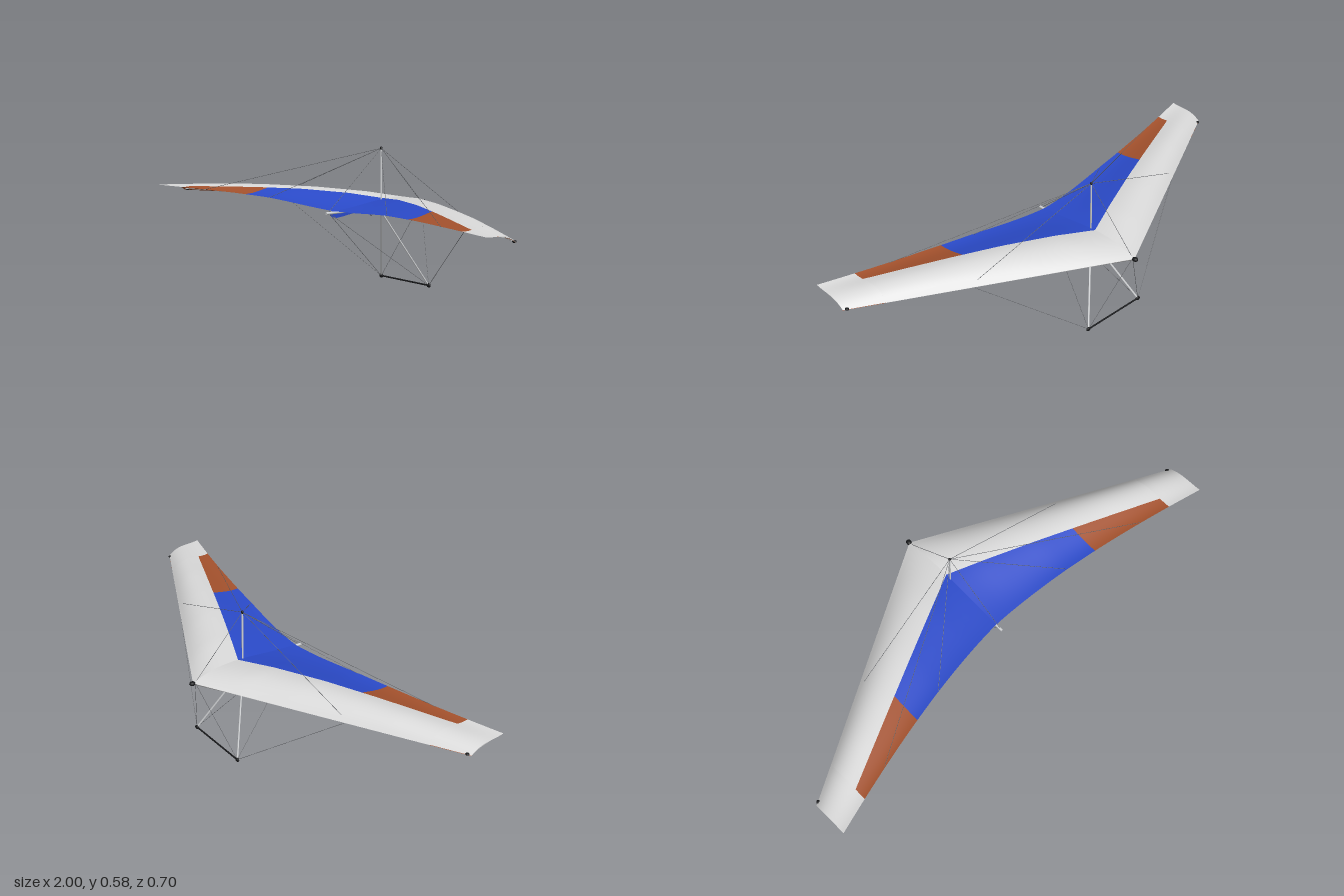
import * as THREE from 'three';

const mat = (name, color, side = THREE.FrontSide) => {
  const m = new THREE.MeshStandardMaterial({ color, side });
  m.name = name;
  return m;
};

export function createModel() {
  const glider = new THREE.Group();
  glider.name = 'hangGlider';
  const white = mat('sail white', 0xdadada, THREE.DoubleSide);
  const blue = mat('sail blue', 0x2b4bcb, THREE.DoubleSide);
  const rust = mat('sail rust', 0xa5522d, THREE.DoubleSide);
  const alloy = mat('tube alloy', 0xd0d2d4);
  const black = mat('fitting black', 0x18191b);
  const steel = mat('wire steel', 0x66686c);

  // Linear interpolation through [x, value] pairs
  const table = (pts) => (x) => {
    let i = 1;
    while (i < pts.length - 1 && x > pts[i][0]) i++;
    const [a, b] = [pts[i - 1], pts[i]];
    return a[1] + ((b[1] - a[1]) * (x - a[0])) / (b[0] - a[0]);
  };

  // Wing planform and section rules, x measured outward from the keel
  const leadZ = (x) => -0.335 + 0.53 * x;
  const trailZ = (x) => 0.165 + 0.185 * Math.pow(x, 1.5);
  const leadY = (x) => 0.334 + 0.004 * x;
  const trailY = table([[0, 0.339], [0.08, 0.342], [0.16, 0.347], [0.25, 0.354], [0.36, 0.362], [0.55, 0.367], [1, 0.372]]);
  const camber = table([[0, 0.031], [0.15, 0.044], [0.35, 0.046], [0.55, 0.042], [0.7, 0.037], [0.86, 0.026], [1, 0.014]]);
  const belly = table([[0, 0.044], [0.12, 0.031], [0.3, 0.011], [0.5, 0.004], [0.86, 0.001], [1, -0.007]]);
  const zAt = (x, u) => leadZ(x) + (trailZ(x) - leadZ(x)) * u;
  const uAt = (x, z) => (z - leadZ(x)) / (trailZ(x) - leadZ(x));
  const upperY = (x, u) => leadY(x) + (trailY(x) - leadY(x)) * u + camber(x) * 6.75 * u * (1 - u) ** 2;
  const upper = (x, u) => [x, upperY(x, u), zAt(x, u)];
  const seam = 0.58; // where the lower skin meets the upper sail
  const lower = (x, t) => {
    const y = leadY(x) + (upperY(x, seam) - leadY(x)) * t - belly(x) * Math.sin(Math.PI * t ** 0.75);
    return [x, y - 0.0015, zAt(x, seam * t)];
  };

  // Sail panel between two spanwise stations and two chordwise limits, on both sides
  function panel(name, material, surface, x0, x1, c0, c1, down = false) {
    const nx = Math.max(4, Math.ceil((x1 - x0) * 32)), nc = 14;
    for (const side of [1, -1]) {
      const pos = [], idx = [];
      for (let i = 0; i <= nx; i++) {
        const x = x0 + ((x1 - x0) * i) / nx;
        for (let j = 0; j <= nc; j++) {
          const [px, py, pz] = surface(x, c0(x) + ((c1(x) - c0(x)) * j) / nc);
          pos.push(px * side, py, pz);
          if (i < nx && j < nc) {
            const a = i * (nc + 1) + j, b = a + nc + 1;
            if ((side > 0) !== down) idx.push(a, a + 1, b, b, a + 1, b + 1);
            else idx.push(a, b, a + 1, b, b + 1, a + 1);
          }
        }
      }
      const g = new THREE.BufferGeometry();
      g.setAttribute('position', new THREE.Float32BufferAttribute(pos, 3));
      g.setIndex(idx);
      g.computeVertexNormals();
      const m = new THREE.Mesh(g, material);
      m.name = name + (side > 0 ? 'Left' : 'Right');
      glider.add(m);
    }
  }

  // Flat panel standing in the fore-and-aft plane, from [z, y] outline points
  function uprightPanel(name, material, outline, x) {
    const shape = new THREE.Shape(outline.map(([z, y]) => new THREE.Vector2(-z, y)));
    const m = new THREE.Mesh(new THREE.ShapeGeometry(shape), material);
    m.rotation.y = Math.PI / 2;
    m.position.x = x;
    m.name = name;
    glider.add(m);
  }

  // Upper sail: white leading band and tips, coloured rear panels
  const zero = () => 0, one = () => 1;
  const band = (x) => uAt(x, -0.12 + 0.445 * x);
  panel('leadingBand', white, upper, 0, 0.855, zero, band);
  panel('innerPanel', blue, upper, 0, 0.5, band, one);
  panel('outerPanel', rust, upper, 0.5, 0.855, band, one);
  panel('tipPanel', white, upper, 0.855, 1, zero, one);

  // Lower skin from the leading edge to the seam
  const split = (x) => uAt(x, -0.185 + 0.4 * x) / seam;
  panel('lowerSkinFront', white, lower, 0, 0.5, zero, split, true);
  panel('lowerSkinRear', blue, lower, 0, 0.5, split, one, true);
  panel('lowerSkinOuter', white, lower, 0.5, 0.86, zero, one, true);
  panel('lowerSkinTip', rust, lower, 0.86, 1, zero, one, true);

  // White ribs closing the wing tips
  const tipOutline = [];
  for (let i = 0; i <= 8; i++) tipOutline.push([zAt(1, (seam * i) / 8), upperY(1, (seam * i) / 8)]);
  for (let i = 8; i >= 0; i--) {
    const [, y, z] = lower(1, i / 8);
    tipOutline.push([z, y]);
  }
  for (const s of [1, -1]) uprightPanel('tipRib', white, tipOutline, s);

  // Keel pocket hanging under the rear of the keel
  uprightPanel('keelPocket', blue, [
    [0, 0.34], [0.165, 0.339], [0.178, 0.326], [0.165, 0.314], [0.14, 0.309], [0.11, 0.312], [0.06, 0.319], [0, 0.326],
  ], 0);

  // Straight tube or wire between two points; slim narrows it across x
  function rod(name, material, a, b, r, sides = 12, slim = 1) {
    const A = new THREE.Vector3(...a), B = new THREE.Vector3(...b);
    const m = new THREE.Mesh(new THREE.CylinderGeometry(r, r, A.distanceTo(B), sides), material);
    m.position.copy(A).add(B).multiplyScalar(0.5);
    m.quaternion.setFromUnitVectors(new THREE.Vector3(0, 1, 0), B.sub(A).normalize());
    m.scale.x = slim;
    m.name = name;
    glider.add(m);
  }
  function knob(name, material, p, sx, sy, sz) {
    const m = new THREE.Mesh(new THREE.SphereGeometry(1, 16, 12), material);
    m.scale.set(sx, sy, sz);
    m.position.set(...p);
    m.name = name;
    glider.add(m);
  }

  // Frame
  const top = [0, 0.573, -0.097], nose = [0, 0.333, -0.325], tail = [0, 0.334, 0.185];
  const baseY = 0.009, wire = 0.0009;
  rod('keel', alloy, [0, 0.331, -0.335], [0, 0.331, 0.196], 0.0055);
  rod('kingpost', alloy, [0, 0.331, -0.097], top, 0.004, 12, 0.6);
  knob('kingpostCap', black, top, 0.0055, 0.007, 0.0055);
  knob('noseCap', black, [0, 0.333, -0.338], 0.011, 0.009, 0.013);
  knob('apexBracket', black, [0, 0.313, -0.097], 0.008, 0.006, 0.005);
  rod('apexBolt', black, [0, 0.331, -0.097], [0, 0.312, -0.097], 0.003);
  rod('baseBar', black, [-0.145, baseY, -0.23], [0.145, baseY, -0.23], 0.0035);

  // Mirrored frame parts and rigging
  for (const s of [1, -1]) {
    const corner = [s * 0.145, baseY, -0.23];
    rod('leadingEdgeTube', alloy, [0, 0.333, -0.32], [s * 0.985, 0.343, 0.2], 0.002);
    knob('leadingEdgeCap', black, [s * 0.985, 0.339, 0.189], 0.008, 0.005, 0.008);
    rod('downtube', alloy, [0, 0.313, -0.097], corner, 0.0042, 12, 0.6);
    knob('baseCorner', black, corner, 0.011, 0.009, 0.006);
    rod('frontLowerWire', steel, corner, nose, wire, 6);
    rod('rearLowerWire', steel, corner, tail, wire, 6);
    rod('sideLowerWire', steel, corner, [s * 0.57, 0.338, -0.03], wire, 6);
    rod('sideUpperWire', steel, top, [s * 0.54, 0.355, -0.03], wire, 6);
    for (const x of [0.36, 0.72]) {
      rod('luffLine', steel, top, [s * x, upperY(x, 0.99), zAt(x, 0.99)], wire, 6);
    }
  }
  rod('noseUpperWire', steel, top, nose, wire, 6);
  rod('tailUpperWire', steel, top, tail, wire, 6);

  // Hang strap and carabiner
  const strap = new THREE.Mesh(new THREE.BoxGeometry(0.012, 0.022, 0.008), rust);
  strap.name = 'hangStrap';
  strap.position.set(0, 0.327, -0.041);
  const ring = new THREE.Mesh(new THREE.TorusGeometry(0.0065, 0.0012, 8, 20), steel);
  ring.name = 'carabiner';
  ring.scale.y = 1.8;
  ring.rotation.y = Math.PI / 2;
  ring.position.set(0, 0.313, -0.043);
  glider.add(strap, ring);

  return glider;
}
